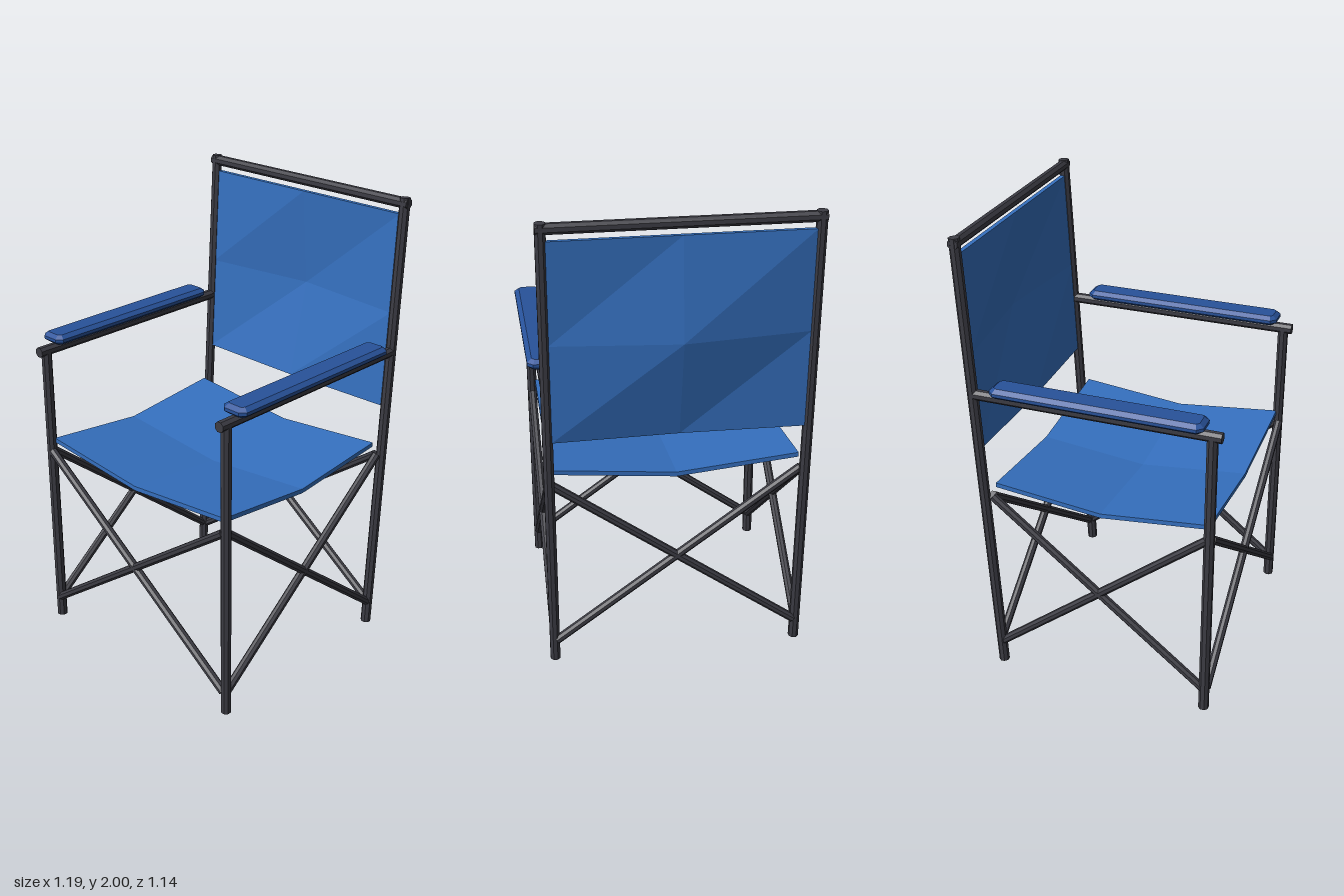
import * as THREE from 'three';

const frameMat = new THREE.MeshStandardMaterial({ color: 0x3c3c44, flatShading: true });
const clothMat = new THREE.MeshStandardMaterial({ color: 0x3570bf, flatShading: true });
const padMat = new THREE.MeshStandardMaterial({ color: 0x28529a, flatShading: true });

const X = 0.535, FRONT = 0.53, BACK = -0.425;
// Depth of the raked rear posts at height y
const rake = (y) => -0.415 - 0.055 * y;

// Eight-sided tube between two points
function tube(name, a, b, r = 0.023) {
  const p = new THREE.Vector3(...a), q = new THREE.Vector3(...b);
  const dir = q.clone().sub(p);
  const geo = new THREE.CylinderGeometry(r, r, dir.length(), 8);
  geo.rotateY(Math.PI / 8);
  const mesh = new THREE.Mesh(geo, frameMat);
  mesh.name = name;
  mesh.position.copy(p).add(q).multiplyScalar(0.5);
  mesh.quaternion.setFromUnitVectors(new THREE.Vector3(0, 1, 0), dir.normalize());
  return mesh;
}

// Thin cloth slab: a 2 x 2 box grid moved by rule(u, v, side), with u, v and side in -1..1
function cloth(name, rule) {
  const geo = new THREE.BoxGeometry(2, 2, 2, 2, 2, 1);
  const pos = geo.attributes.position;
  for (let i = 0; i < pos.count; i++) {
    pos.setXYZ(i, ...rule(pos.getX(i), pos.getY(i), pos.getZ(i)));
  }
  geo.computeVertexNormals();
  const mesh = new THREE.Mesh(geo, clothMat);
  mesh.name = name;
  return mesh;
}

// Arm pad with chamfered corners and edges
function armPad() {
  const w = 0.041, l = 0.431, c = 0.012;
  const shape = new THREE.Shape([
    [-w + c, -l], [w - c, -l], [w, -l + c], [w, l - c],
    [w - c, l], [-w + c, l], [-w, l - c], [-w, -l + c],
  ].map(([x, y]) => new THREE.Vector2(x, y)));
  const geo = new THREE.ExtrudeGeometry(shape, {
    depth: 0.014, bevelEnabled: true, bevelThickness: 0.015, bevelSize: 0.019, bevelSegments: 1,
  });
  geo.translate(0, 0, -0.007);
  geo.rotateX(-Math.PI / 2);
  const mesh = new THREE.Mesh(geo, padMat);
  mesh.name = 'armPad';
  return mesh;
}

export function createModel() {
  const chair = new THREE.Group();
  chair.name = 'foldingChair';

  for (const s of [1, -1]) {
    const side = s > 0 ? 'left' : 'right';
    const x = s * X;

    // Posts and arm
    chair.add(tube(side + 'FrontPost', [x, 0, FRONT], [x, 1.33, FRONT]));
    chair.add(tube(side + 'RearPost', [x, 0, rake(0)], [x, 2, rake(2)]));
    chair.add(tube(side + 'ArmRail', [x, 1.335, 0.57], [x, 1.335, -0.48]));
    const pad = armPad();
    pad.name = side + 'ArmPad';
    pad.position.set(s * 0.537, 1.378, 0.055);
    chair.add(pad);

    // Crossed side braces
    chair.add(tube(side + 'SideBraceA', [x, 0.86, 0.525], [x, 0.1, -0.42], 0.019));
    chair.add(tube(side + 'SideBraceB', [x, 0.1, 0.525], [x, 0.86, -0.425], 0.019));

    // Crossed front and rear braces
    const lo = [-s * 0.525, 0.1], hi = [s * 0.525, 0.86];
    chair.add(tube(side + 'FrontBrace', [...lo, 0.537], [...hi, 0.537], 0.019));
    chair.add(tube(side + 'RearBrace', [...lo, BACK - 0.005], [...hi, BACK - 0.005], 0.019));
  }

  chair.add(tube('topBar', [-0.555, 1.977, rake(1.977)], [0.555, 1.977, rake(1.977)]));

  // Sagging seat: high corners, low centre
  chair.add(cloth('seat', (u, v, t) => [
    u * 0.52,
    0.81 + 0.05 * (Math.abs(u) + Math.abs(v)) + t * 0.01,
    0.055 - v * 0.47,
  ]));

  // Back cloth pushed rearward at its middle
  chair.add(cloth('backrest', (u, v, t) => {
    const y = 1.505 + v * 0.425;
    const centre = (1 - Math.abs(u)) * (1 - Math.abs(v));
    const lip = v < 0 ? (1 - Math.abs(u)) * -v * 0.012 : 0;
    return [u * 0.52, y, rake(y) - 0.003 - centre * 0.06 + lip + t * 0.01];
  }));

  return chair;
}
